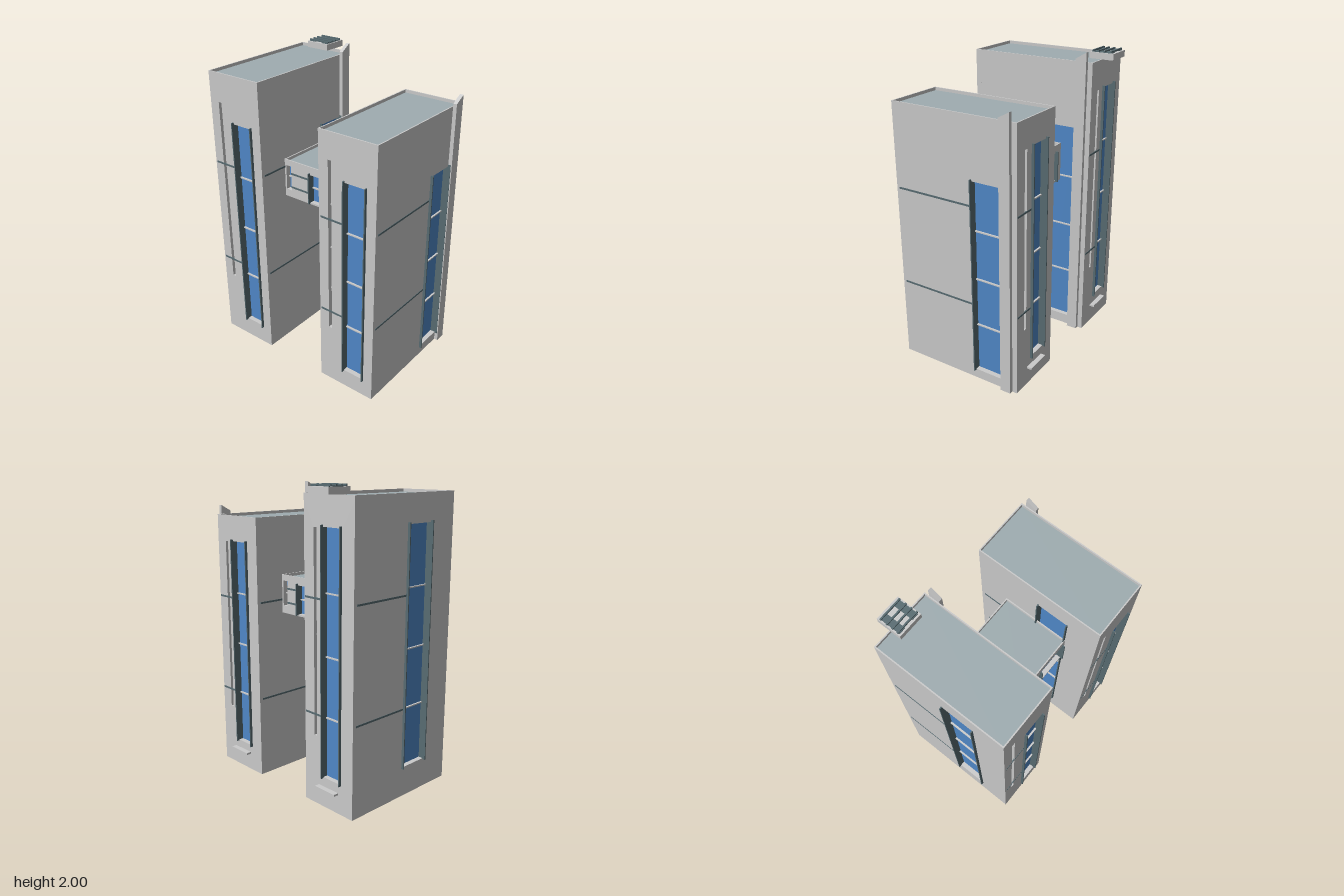
import * as THREE from 'three';

const mat = (color) => new THREE.MeshStandardMaterial({ color });
const WALL = mat(0xcccccc), GLASS = mat(0x5088c8), ROOF = mat(0x9fadb1), TRIM = mat(0x586c72);
const T = 0.035; // wall thickness, which is also the window recess
const FIN = 0.007; // window fin thickness

function add(parent, name, geometry, material, x = 0, y = 0, z = 0) {
  const m = new THREE.Mesh(geometry, material);
  m.name = name;
  m.position.set(x, y, z);
  parent.add(m);
  return m;
}

// box given by its lower and upper limits on each axis
function box(parent, name, material, x0, x1, y0, y1, z0, z1) {
  return add(parent, name, new THREE.BoxGeometry(x1 - x0, y1 - y0, z1 - z0), material,
    (x0 + x1) / 2, (y0 + y1) / 2, (z0 + z1) / 2);
}

function rect(Type, x0, x1, y0, y1) {
  return new Type([[x0, y0], [x1, y0], [x1, y1], [x0, y1]].map(([x, y]) => new THREE.Vector2(x, y)));
}

// wall with recessed windows; its outer surface lies at local z = 0
// opening: [u0, u1, y0, y1, panes, hasFins]; bar: [u0, u1, y]
function wall(name, w, h, { openings = [], bars = [] } = {}) {
  const g = new THREE.Group();
  g.name = name;
  const shape = rect(THREE.Shape, -w / 2, w / 2, 0, h);
  for (const [u0, u1, y0, y1, panes, fins] of openings) {
    const e = fins ? FIN : 0;
    shape.holes.push(rect(THREE.Path, u0 - e, u1 + e, y0, y1));
    box(g, 'windowGlass', GLASS, u0 - e, u1 + e, y0, y1, -T - 0.005, -T + 0.002);
    for (let i = 1; i < panes; i++) {
      const y = y0 + (y1 - y0) * i / panes;
      box(g, 'mullion', WALL, u0, u1, y - 0.004, y + 0.004, -T, -T + 0.014);
    }
    if (fins) {
      for (const u of [u0 - FIN, u1]) box(g, 'windowFin', TRIM, u, u + FIN, y0 - 0.007, y1 + 0.012, -T, 0.018);
    }
  }
  for (const [u0, u1, y] of bars) box(g, 'wallBar', TRIM, u0, u1, y - 0.006, y + 0.006, -0.004, 0.003);
  const geo = new THREE.ExtrudeGeometry(shape, { depth: T, bevelEnabled: false });
  add(g, 'wallPanel', geo, WALL, 0, 0, -T);
  return g;
}

// hollow building block: four walls, floor, sunken roof and thin parapet
function block(name, w, h, d, faces) {
  const g = new THREE.Group();
  g.name = name;
  const hw = h - 0.022;
  const sides = [
    ['front', w, 0, 0, d / 2],
    ['back', w, Math.PI, 0, -d / 2],
    ['left', d - 2 * T, Math.PI / 2, w / 2, 0],
    ['right', d - 2 * T, -Math.PI / 2, -w / 2, 0],
  ];
  for (const [side, width, turn, x, z] of sides) {
    const p = wall(side + 'Wall', width, hw, faces[side]);
    p.rotation.y = turn;
    p.position.set(x, 0, z);
    g.add(p);
  }
  box(g, 'floor', WALL, -w / 2 + T, w / 2 - T, 0, 0.008, -d / 2 + T, d / 2 - T);
  box(g, 'roof', ROOF, -w / 2 + 0.004, w / 2 - 0.004, hw - 0.01, hw + 0.002, -d / 2 + 0.004, d / 2 - 0.004);
  const rim = rect(THREE.Shape, -w / 2, w / 2, -d / 2, d / 2);
  rim.holes.push(rect(THREE.Path, -w / 2 + 0.008, w / 2 - 0.008, -d / 2 + 0.008, d / 2 - 0.008));
  const geo = new THREE.ExtrudeGeometry(rim, { depth: h - hw, bevelEnabled: false }).rotateX(-Math.PI / 2);
  add(g, 'parapet', geo, WALL, 0, hw, 0);
  return g;
}

// tower whose heights all scale by s
function tower(name, s) {
  const W = 0.414, D = 0.888;
  const win = (u0, u1, y0, y1) => [u0, u1, y0 * s, y1 * s, 4, true];
  const strip = (u0, u1) => [u0, u1, 0.46 * s, 1.745 * s, 4, false];
  const bars = (u0, u1) => [[u0, u1, 1.327 * s], [u0, u1, 0.6 * s]];
  const g = block(name, W, 1.935 * s, D, {
    front: { openings: [win(-0.015, 0.133, 0.138, 1.625), strip(-0.137, -0.113)], bars: bars(-0.195, -0.023) },
    back: { openings: [win(-0.045, 0.103, 0.2, 1.75), strip(-0.124, -0.1)], bars: bars(-0.2, -0.053) },
    left: { openings: [win(0.133, 0.335, 0.07, 1.5)], bars: bars(-0.423, 0.12) },
    right: { openings: [win(0.013, 0.223, 0.2, 1.753)], bars: bars(-0.42, 0.004) },
  });
  // tall blade with a sloped top beside the left window
  const blade = new THREE.Shape([[0.337, 0], [0.411, 0], [0.411, 2.0 * s], [0.337, 1.955 * s]]
    .map(([x, y]) => new THREE.Vector2(x, y)));
  const geo = new THREE.ExtrudeGeometry(blade, { depth: 0.025, bevelEnabled: false }).rotateY(Math.PI / 2);
  add(g, 'blade', geo, WALL, W / 2, 0, 0);
  // ledge under the back window
  box(g, 'ledge', WALL, -0.085, 0.085, 0.125 * s, 0.125 * s + 0.013, -D / 2 - 0.034, -D / 2);
  return g;
}

// rooftop vent: slab, two runners and cross slats
function vent() {
  const g = new THREE.Group();
  g.name = 'roofVent';
  box(g, 'ventSlab', WALL, -0.525, -0.355, 1.937, 1.978, -0.498, -0.33);
  for (const x of [-0.515, -0.41]) box(g, 'ventRunner', TRIM, x, x + 0.045, 1.978, 1.983, -0.483, -0.342);
  for (const z of [-0.475, -0.43, -0.39, -0.352]) box(g, 'ventSlat', TRIM, -0.52, -0.36, 1.981, 1.992, z - 0.005, z + 0.005);
  return g;
}

export function createModel() {
  const model = new THREE.Group();
  model.name = 'twinTowerBuilding';

  const tall = tower('tallTower', 1);
  tall.position.set(-0.44, 0, 0.027);
  const short = tower('shortTower', 0.912);
  short.position.set(0.433, 0, 0.027);

  // bridge between the towers
  const bridge = block('bridge', 0.459, 0.26, 0.467, {
    front: {
      openings: [[-0.0165, 0.2035, 0.012, 0.205, 2, true], [-0.2165, -0.1765, 0.05, 0.22, 2, false]],
      bars: [[-0.1765, -0.025, 0.17], [-0.1765, -0.025, 0.075]],
    },
    back: {
      openings: [[-0.068, 0.161, 0.012, 0.205, 2, true], [-0.2165, -0.1765, 0.05, 0.22, 2, false]],
      bars: [[-0.1765, -0.076, 0.17], [-0.1765, -0.076, 0.075]],
    },
  });
  bridge.position.set(-0.0035, 1.12, 0.0265);

  model.add(tall, short, bridge, vent());
  return model;
}
